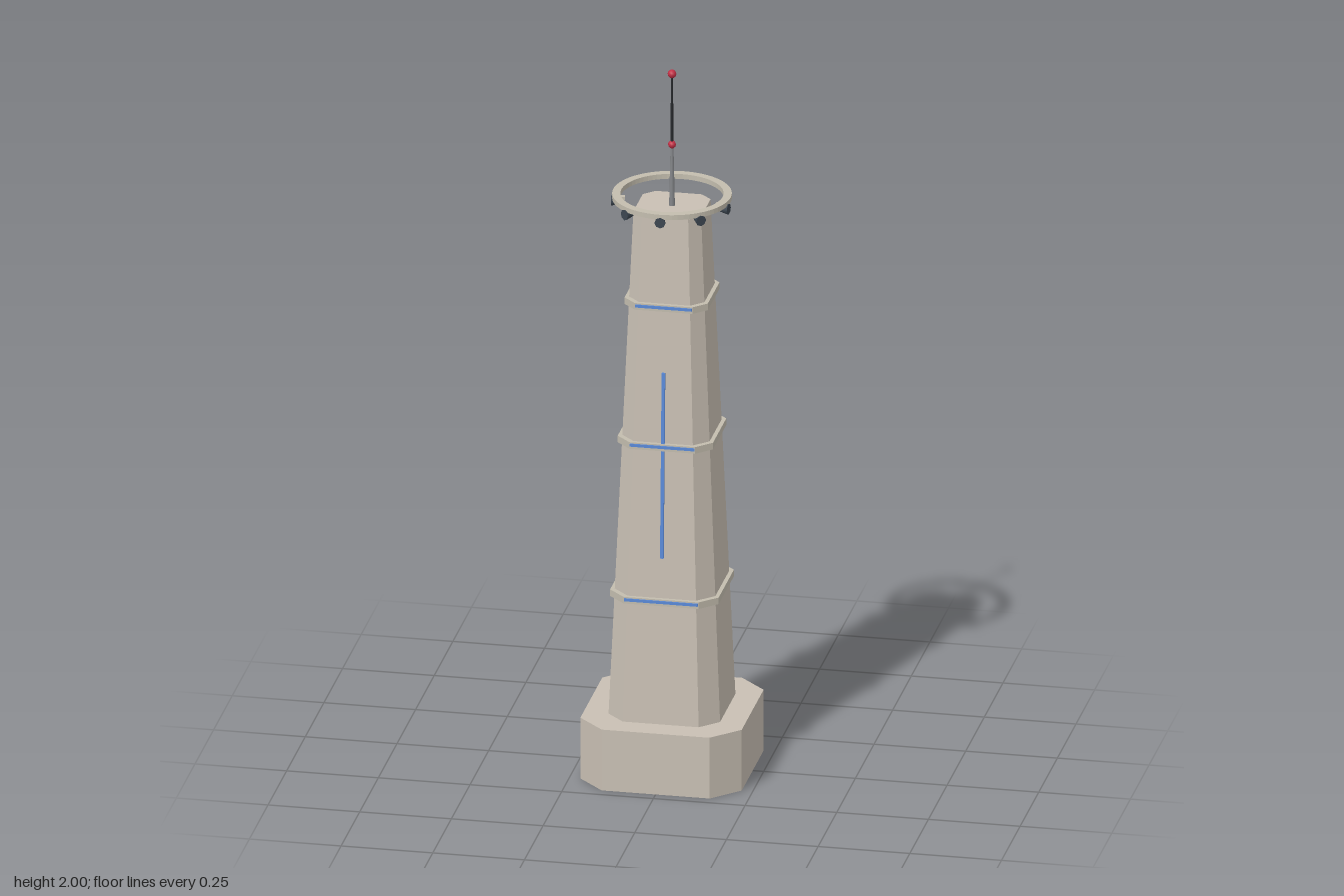
import * as THREE from 'three';

const mat = (name, color) => {
  const m = new THREE.MeshStandardMaterial({ color });
  m.name = name;
  return m;
};

export function createModel() {
  const root = new THREE.Group();
  root.name = 'tower';
  const stone = mat('warm stone', 0xc8bfb3);
  const trim = mat('pale trim', 0xc3bdae);
  const blue = mat('blue light', 0x5a8ad8);
  const slate = mat('dark slate', 0x3c4650);
  const steel = mat('grey steel', 0x85878a);
  const black = mat('black mast', 0x26282b);
  const red = mat('red beacon', 0xc22f45);

  const add = (name, geo, material, x = 0, y = 0, z = 0, parent = root) => {
    const m = new THREE.Mesh(geo, material);
    m.name = name;
    m.position.set(x, y, z);
    parent.add(m);
    return m;
  };

  // Tapered square prism with cut corners, from an eight-sided cylinder
  const prism = (bottom, top, y0, y1, ratio = 0.68) => {
    const g = new THREE.CylinderGeometry(1, 1, 1, 8, 1, false, Math.PI / 8).toNonIndexed();
    const p = g.attributes.position;
    for (let i = 0; i < p.count; i++) {
      const x = p.getX(i), z = p.getZ(i), up = p.getY(i) > 0;
      const h = Math.hypot(x, z) < 0.1 ? 0 : up ? top : bottom;
      const wide = Math.abs(x) > Math.abs(z);
      p.setXYZ(i, Math.sign(x) * h * (wide ? 1 : ratio), up ? y1 : y0,
        Math.sign(z) * h * (wide ? ratio : 1));
    }
    g.computeVertexNormals();
    return g;
  };

  // Base and tapering shaft
  const Y0 = 0.175, Y1 = 1.61;
  const half = y => 0.152 + (0.0925 - 0.152) * (y - Y0) / (Y1 - Y0);
  add('base', prism(0.22, 0.22, 0, Y0, 0.668), stone);
  add('shaft', prism(half(Y0), half(Y1), Y0, Y1), stone);

  // Bands with a light strip on the front
  for (const y of [0.523, 0.962, 1.357]) {
    const h = half(y) + 0.0105;
    add('band', prism(h, h, y - 0.0095, y + 0.0095, 0.69), trim);
    add('bandLight', new THREE.BoxGeometry(h * 1.36, 0.008, 0.004), blue, 0, y + 0.002, h + 0.001);
  }

  // Upright light strip lying along the sloping front
  const strip = add('frontLight', new THREE.BoxGeometry(0.009, 0.525, 0.008), blue, 0, 0.909, half(0.909) + 0.003);
  strip.rotation.x = -Math.atan((0.152 - 0.0925) / (Y1 - Y0));

  // Flat ring above the shaft
  const ringShape = new THREE.Shape().absarc(0, 0, 0.16, 0, Math.PI * 2);
  ringShape.holes.push(new THREE.Path().absarc(0, 0, 0.138, 0, Math.PI * 2, true));
  const ringGeo = new THREE.ExtrudeGeometry(ringShape, { depth: 0.014, bevelEnabled: false, curveSegments: 32 });
  ringGeo.rotateX(-Math.PI / 2);
  add('ring', ringGeo, trim, 0, 1.631, 0);

  // Five lamps hung below the front half of the ring
  for (const deg of [10, 50, 90, 130, 170]) {
    const lamp = new THREE.Group();
    lamp.name = 'lamp';
    lamp.rotation.y = Math.PI / 2 - deg * Math.PI / 180;
    root.add(lamp);
    add('bracket', new THREE.BoxGeometry(0.016, 0.008, 0.022), trim, 0, 1.631, 0.137, lamp);
    const housing = new THREE.CylinderGeometry(0.015, 0.009, 0.026, 8);
    housing.rotateX(Math.PI / 2);
    add('lampHousing', housing.toNonIndexed(), slate, 0, 1.622, 0.15, lamp);
  }

  // Mast and two beacons
  add('lowerMast', new THREE.CylinderGeometry(0.004, 0.008, 0.175, 8), steel, 0, 1.6975, 0);
  add('upperMast', new THREE.CylinderGeometry(0.003, 0.004, 0.2, 8), black, 0, 1.885, 0);
  for (const [y, r] of [[1.785, 0.011], [1.988, 0.012]]) {
    add('beacon', new THREE.SphereGeometry(r, 8, 6), red, 0, y, 0);
  }

  return root;
}
